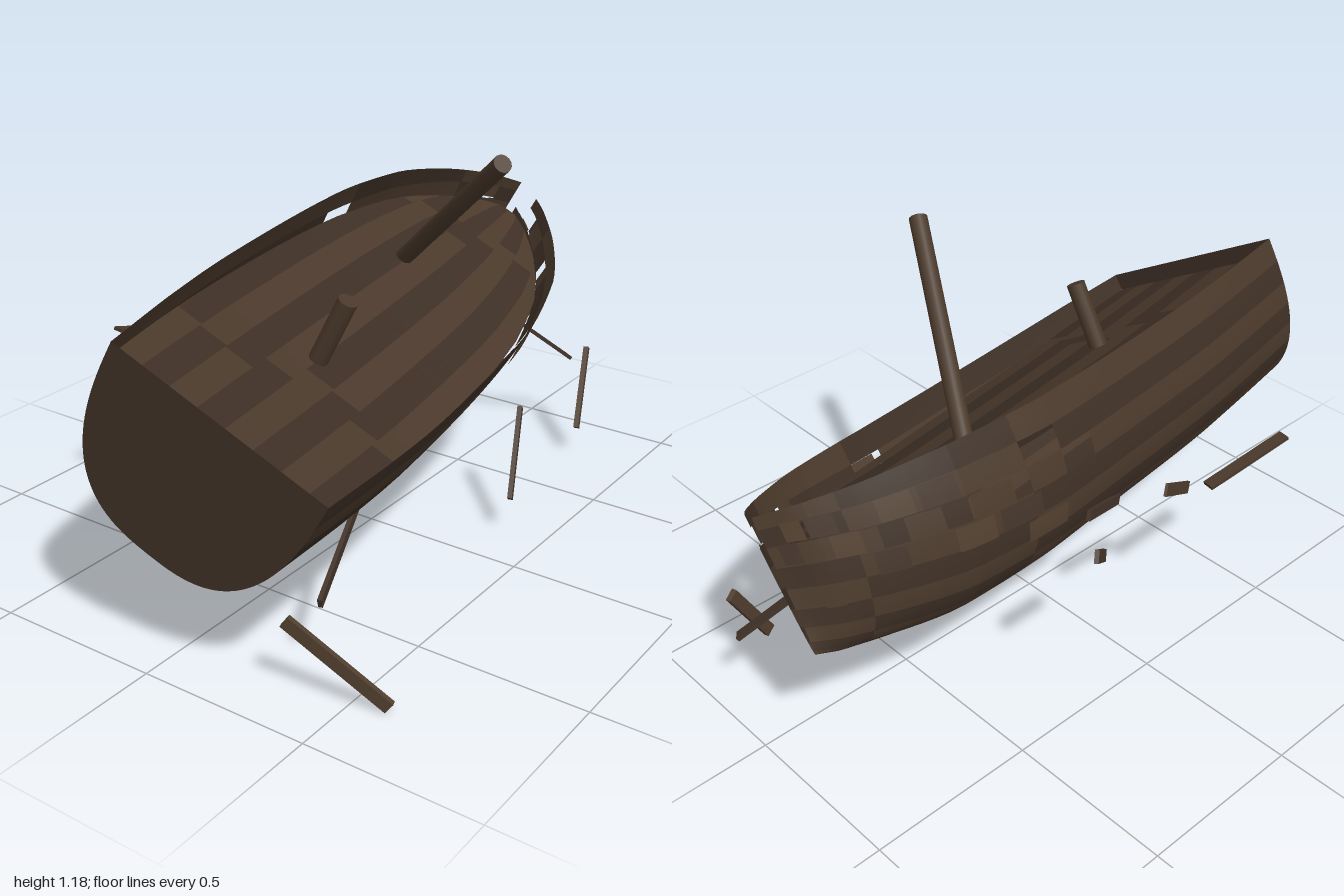
import * as THREE from 'three';

const wood = [0x513f2f, 0x43342a, 0x4a392b, 0x3d2f25].map(
  (color) => new THREE.MeshStandardMaterial({ color, side: THREE.DoubleSide }));
let seed = 7;
const rand = () => (seed = (seed * 16807) % 2147483647) / 2147483647;

// hull stations from stern to bow: [distance, half beam, rim height, keel depth, fullness]
const stations = [
  [0, 0.326, 0, 0.457, 2.7], [0.28, 0.352, 0.004, 0.457, 2.7], [0.55, 0.368, 0.008, 0.455, 2.7],
  [0.95, 0.37, 0.02, 0.44, 2.7], [1.25, 0.358, 0.034, 0.432, 2.7], [1.55, 0.303, 0.058, 0.41, 2.5],
  [1.75, 0.21, 0.075, 0.36, 2.3], [1.88, 0.105, 0.09, 0.32, 2.1], [1.945, 0.014, 0.098, 0.29, 2],
];
const shapeCurve = new THREE.CatmullRomCurve3(stations.map((s) => new THREE.Vector3(s[1], s[2], s[3])));
const lengthCurve = new THREE.CatmullRomCurve3(stations.map((s) => new THREE.Vector3(s[0], s[4], 0)));

// u runs stern to bow, v from the right rim (-1) over the keel (0) to the left rim (1)
function hullPoint(u, v, out = 0) {
  const { x: w, y: rim, z: depth } = shapeCurve.getPoint(u);
  const { x: along, y: n } = lengthCurve.getPoint(u);
  const a = Math.min(1, Math.pow(1 - Math.abs(v), 1.3)) * Math.PI / 2;
  const x = Math.sign(v) * w * Math.pow(Math.max(0, Math.cos(a)), 2 / n);
  const y = rim - (rim + depth) * Math.pow(Math.sin(a), 2 / n);
  const len = Math.hypot(x, y + 0.1) || 1;
  return [x + out * x / len, y + out * (y + 0.1) / len, -along];
}

// the deck sinks further below the rim toward the bow; f runs across from -1 to 1
function deckPoint(u, f) {
  const { x: w, y: rim } = shapeCurve.getPoint(u);
  const half = w - 0.004 - 0.012 * Math.min(1, u * 2);
  return [THREE.MathUtils.clamp(f * (0.7 * w + 0.11), -half, half),
    rim - Math.min(0.1, 0.055 + 0.08 * u), -lengthCurve.getPoint(u).x];
}

// grid surface over a rectangle of (u, v)
function patch(fn, u0, u1, v0, v1, nu, nv) {
  const pos = [], index = [];
  for (let i = 0; i <= nu; i++)
    for (let j = 0; j <= nv; j++)
      pos.push(...fn(u0 + (u1 - u0) * i / nu, v0 + (v1 - v0) * j / nv));
  for (let i = 0; i < nu; i++)
    for (let j = 0; j < nv; j++) {
      const a = i * (nv + 1) + j, b = a + nv + 1;
      index.push(a, a + 1, b, a + 1, b + 1, b);
    }
  const g = new THREE.BufferGeometry();
  g.setAttribute('position', new THREE.Float32BufferAttribute(pos, 3));
  g.setIndex(index);
  g.computeVertexNormals();
  return g;
}

function add(parent, name, geometry, tone) {
  const mesh = new THREE.Mesh(geometry, wood[tone]);
  mesh.name = name;
  parent.add(mesh);
  return mesh;
}

// places a geometry that is long in y between two points, its x axis kept level
function between(parent, name, geometry, a, b, tone) {
  const p = new THREE.Vector3(...a), q = new THREE.Vector3(...b);
  const mesh = add(parent, name, geometry(p.distanceTo(q)), tone);
  const dir = q.clone().sub(p).normalize();
  const level = new THREE.Vector3(-dir.z, 0, dir.x).normalize();
  mesh.position.copy(p).add(q).multiplyScalar(0.5);
  mesh.quaternion.setFromRotationMatrix(
    new THREE.Matrix4().makeBasis(level, dir, level.clone().cross(dir)));
}

export function createModel() {
  const model = new THREE.Group();
  model.name = 'wreckedBoat';
  const boat = new THREE.Group();
  boat.name = 'boat';
  boat.position.set(0.215, 0.735, 0.93);
  boat.rotation.set(0, 0.167, -0.5, 'YXZ');
  model.add(boat);

  // hull strakes, cut into planks, with some planks missing toward the bow
  const rows = 9;
  const cuts = [0, 0.25, 0.44, 0.49, 0.54, 0.62, 0.68, 0.73, 0.8, 0.86, 0.93, 1];
  const missing = new Set(['17:10', '16:10', '16:9', '16:3', '15:4', '16:6', '1:3', '2:2', '2:4', '1:9']);
  for (let k = 0; k < rows * 2; k++) {
    const v0 = -1 + k / rows, v1 = v0 + 1 / rows;
    for (let c = 0; c < cuts.length - 1; c++) {
      if (missing.has(`${k}:${c}`)) continue;
      const tone = 2 + ((k + (c >> 2)) % 2);
      add(boat, 'hullPlank', patch(hullPoint, cuts[c], cuts[c + 1], v0, v1, c < 2 ? 8 : 3, 4), tone);
    }
  }

  // loose planks lifted slightly off the sides
  for (const side of [-1, 1])
    for (let i = 0; i < 14; i++) {
      const u = 0.5 + 0.032 * i, row = 4 + Math.floor(rand() * 4);
      const v0 = side * row / rows, v1 = side * (row + 0.95) / rows;
      const lift = 0.003 + rand() * 0.005;
      add(boat, 'loosePlank', patch((a, b) => hullPoint(a, b, lift), u, Math.min(0.99, u + 0.055), v0, v1, 3, 3), i % 3);
    }

  // flat transom at the stern
  const outline = [];
  for (let i = 0; i <= 48; i++) {
    const [x, y] = hullPoint(0, -1 + i / 24);
    outline.push(new THREE.Vector2(x, y));
  }
  add(boat, 'transom', new THREE.ShapeGeometry(new THREE.Shape(outline)), 3);

  // sunken deck, planked lengthwise with staggered joints
  const planks = 8;
  for (let i = 0; i < planks; i++) {
    const f0 = -1 + 2 * i / planks, f1 = f0 + 2 / planks;
    const j1 = 0.12 + 0.12 * rand(), j2 = 0.6 + 0.2 * rand();
    [[0, j1], [j1, j2], [j2, 0.96]].forEach(([a, b], s) =>
      add(boat, 'deckPlank', patch(deckPoint, a, b, f0, f1, 10, 4), (i + s) % 2 ? 3 : 2));
  }

  // broken mast and its stump
  const pole = (r) => (len) => new THREE.CylinderGeometry(r, r, len, 16);
  between(model, 'fallenMast', pole(0.027), [-0.135, 0.715, -0.353], [0.375, 1.16, -0.077], 2);
  between(model, 'mastStump', pole(0.028), [0.09, 0.68, 0.375], [0.182, 0.862, 0.365], 2);

  // scattered debris: [start, end, level width, upright width]
  const debris = [
    [[0.35, 0.22, 0.87], [0.6, 0.018, 0.78], 0.016, 0.035],
    [[0.36, 0.205, 0.74], [0.26, 0.32, 0.44], 0.012, 0.028],
    [[0.385, 0.115, -0.17], [0.325, 0.345, -0.32], 0.014, 0.034],
    [[0.293, 0.095, -0.77], [0.25, 0.33, -0.9], 0.016, 0.036],
    [[0.165, 0.26, -0.945], [0.055, 0.41, -0.79], 0.03, 0.012],
    [[-0.605, 0.655, -0.34], [-0.435, 0.445, -0.13], 0.012, 0.035],
    [[-0.565, 0.69, -0.04], [-0.43, 0.5, 0.215], 0.008, 0.035],
    [[-0.43, 0.61, -0.19], [-0.34, 0.51, 0.02], 0.012, 0.03],
    [[-0.53, 0.575, 0.18], [-0.575, 0.64, 0.45], 0.036, 0.01],
    [[-0.1, 0.335, 0.62], [-0.08, 0.39, 0.4], 0.03, 0.012],
  ];
  debris.forEach(([a, b, w, t], i) =>
    between(model, 'debrisPlank', (len) => new THREE.BoxGeometry(w, len, t), a, b, i % 3));

  return model;
}
